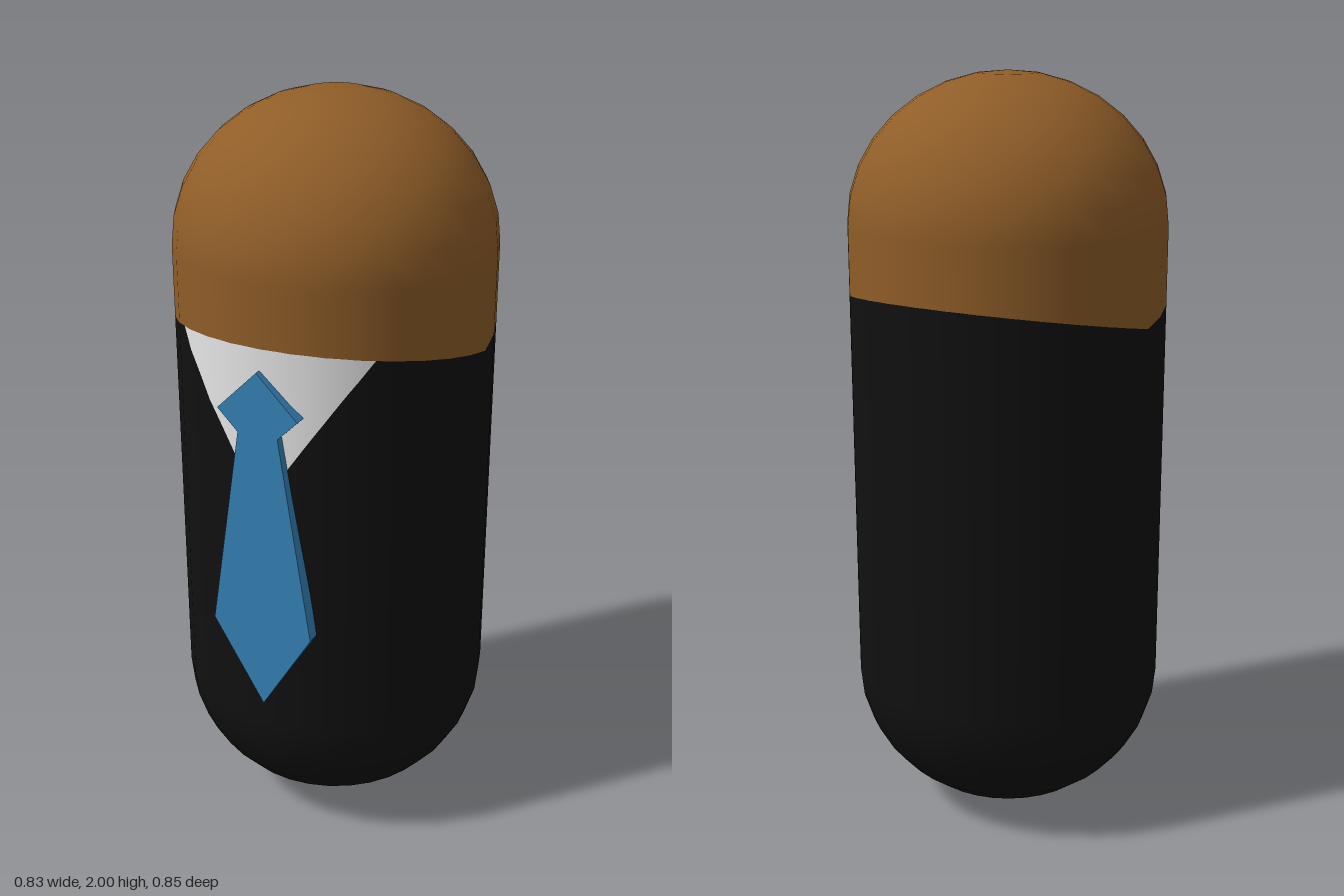
import * as THREE from 'three';

const R = 0.417, CAP = 0.385, SIDES = 32, COLS = 128;
const LOW = CAP, HIGH = 2 - CAP;      // ends of the straight wall
const STEP = (Math.PI * 2) / COLS;
const V_COLS = 14;                    // half width of the shirt opening, in columns
const V_X = R * Math.sin(V_COLS * STEP);

const mat = (name, color, side = THREE.FrontSide) => {
  const m = new THREE.MeshStandardMaterial({ color, side });
  m.name = name;
  return m;
};

// neckline rises to the front and back, shirt opening is a straight V
const neckline = (a) => 1.38 + 0.08 * Math.abs(Math.cos(a));
const opening = (a) => {
  const t = Math.abs(R * Math.sin(a)) / V_X;
  return 1.05 + t * (neckline(V_COLS * STEP) - 1.05);
};
const suitTop = (a, i) => (Math.abs(i) <= V_COLS ? Math.min(opening(a), neckline(a)) : neckline(a));

// strip of the 32-sided wall between two height rules
function wall(from, to, bottom, top) {
  const pos = [], nor = [], idx = [];
  const facet = (Math.PI * 2) / SIDES;
  for (let i = from; i <= to; i++) {
    const a = i * STEP;
    const k = ((i % 4) + 4) % 4;
    const r = (R * Math.cos(facet / 2)) / Math.cos(k * STEP - facet / 2);
    for (const f of [bottom, top]) {
      pos.push(r * Math.sin(a), f(a, i), r * Math.cos(a));
      nor.push(Math.sin(a), 0, Math.cos(a));
    }
    if (i < to) {
      const n = (i - from) * 2;
      idx.push(n, n + 2, n + 3, n, n + 3, n + 1);
    }
  }
  const g = new THREE.BufferGeometry();
  g.setAttribute('position', new THREE.Float32BufferAttribute(pos, 3));
  g.setAttribute('normal', new THREE.Float32BufferAttribute(nor, 3));
  g.setIndex(idx);
  return g;
}

// rounded end of the capsule
function dome(isTop) {
  const g = new THREE.SphereGeometry(R, SIDES, 8, 0, Math.PI * 2, isTop ? 0 : Math.PI / 2, Math.PI / 2);
  g.scale(1, CAP / R, 1);
  g.translate(0, isTop ? HIGH : LOW, 0);
  return g;
}

export function createModel() {
  const model = new THREE.Group();
  model.name = 'figure';
  const skin = mat('brown skin', 0x8f5d28);
  const black = mat('black suit', 0x101010);
  const white = mat('white shirt', 0xfafafa);
  const blue = mat('blue tie', 0x3683b8);

  const body = new THREE.Group();
  body.name = 'body';
  body.position.z = -0.009;
  model.add(body);
  const add = (parent, name, geometry, material) => {
    const mesh = new THREE.Mesh(geometry, material);
    mesh.name = name;
    parent.add(mesh);
  };
  const half = COLS / 2;

  // head
  add(body, 'headDome', dome(true), skin);
  add(body, 'face', wall(-half, half, neckline, () => HIGH), skin);

  // suit and shirt
  add(body, 'suitBase', dome(false), black);
  add(body, 'suit', wall(-half, half, () => LOW, suitTop), black);
  add(body, 'shirt', wall(-V_COLS, V_COLS, opening, neckline), white);

  // tie, knot and blade in one outline
  const right = [[0, 1.405], [0.11, 1.295], [0.055, 1.24], [0.14, 0.69], [0, 0.46]];
  const left = right.slice(1, -1).reverse().map(([x, y]) => [-x, y]);
  const outline = new THREE.Shape([...right, ...left].map(([x, y]) => new THREE.Vector2(x, y)));
  const tie = new THREE.ExtrudeGeometry(outline, { depth: 0.037, bevelEnabled: false });
  tie.translate(0, 0, 0.388);
  add(model, 'tie', tie, blue);

  return model;
}
